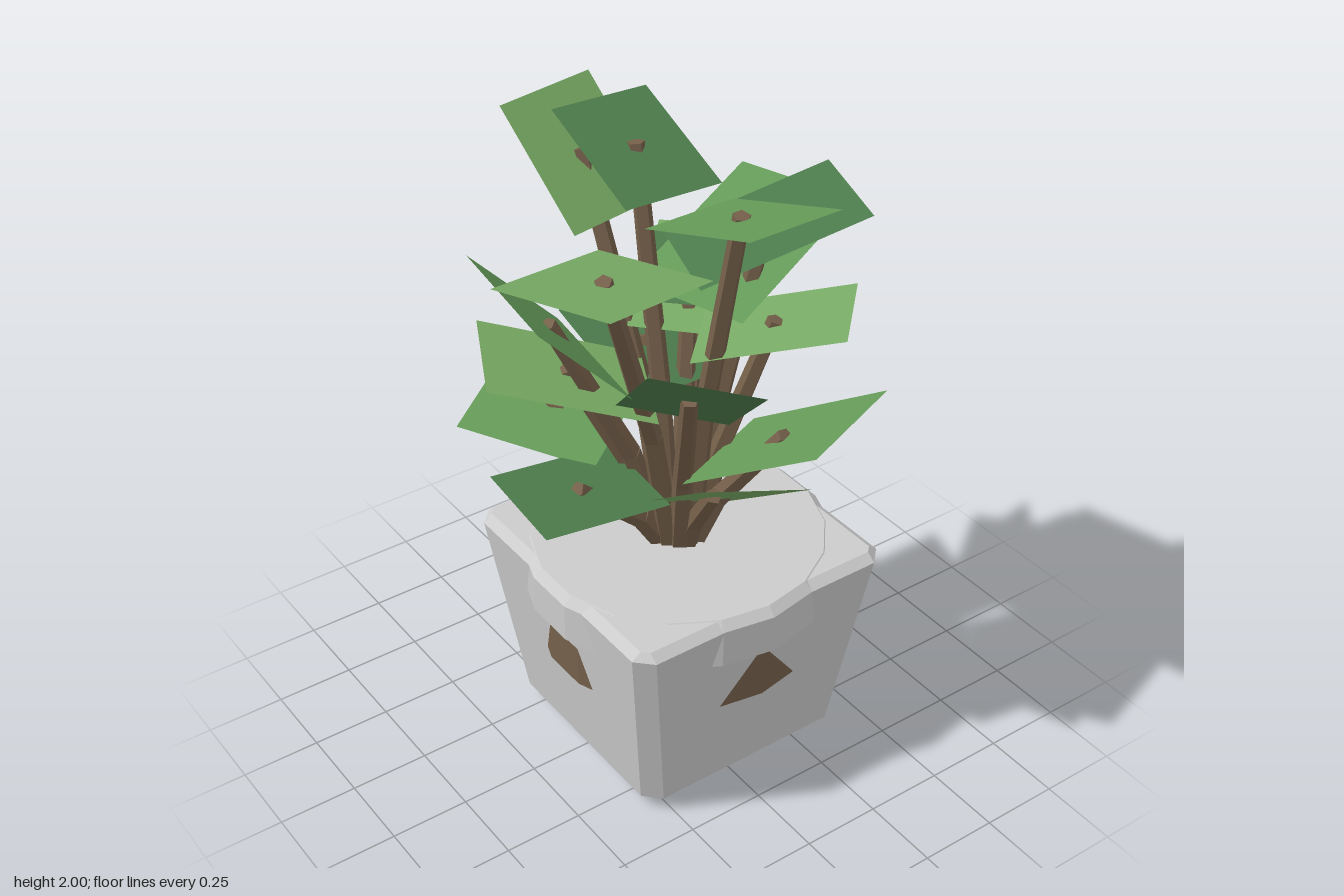
import * as THREE from 'three';

const CX = 0.04, CZ = 0.018; // pot axis
const mat = (color, side = THREE.FrontSide) =>
  new THREE.MeshStandardMaterial({ color, flatShading: true, side });
const grey = mat(0xcccccc), brown = mat(0x75604a);

function add(parent, name, geometry, material) {
  const mesh = new THREE.Mesh(geometry, material);
  mesh.name = name;
  parent.add(mesh);
  return mesh;
}

// Closed solid lofted through square rings with cut corners: [y, halfWidth, cornerCut]
function loftSquare(rings) {
  const pos = [], idx = [], n = 8;
  for (const [y, h, c] of rings) {
    const k = h - c;
    for (const [x, z] of [[k, h], [h, k], [h, -k], [k, -h], [-k, -h], [-h, -k], [-h, k], [-k, h]]) pos.push(x, y, z);
  }
  for (let r = 0; r < rings.length - 1; r++) {
    for (let i = 0; i < n; i++) {
      const a = r * n + i, b = r * n + (i + 1) % n;
      idx.push(a, b, b + n, a, b + n, a + n);
    }
  }
  const top = (rings.length - 1) * n;
  for (let i = 1; i < n - 1; i++) {
    idx.push(0, i + 1, i, top, top + i, top + i + 1);
  }
  const g = new THREE.BufferGeometry();
  g.setAttribute('position', new THREE.Float32BufferAttribute(pos, 3));
  g.setIndex(idx);
  const flat = g.toNonIndexed();
  flat.computeVertexNormals();
  return flat;
}

// Closed faceted disc from [radius, y] points
function disc(points) {
  return new THREE.LatheGeometry(points.map(([r, y]) => new THREE.Vector2(r, y)), 18);
}

// Tapered five-sided rod between two points
function rod(a, b, ra, rb) {
  const d = b.clone().sub(a);
  const g = new THREE.CylinderGeometry(rb, ra, d.length(), 5);
  g.applyQuaternion(new THREE.Quaternion().setFromUnitVectors(new THREE.Vector3(0, 1, 0), d.clone().normalize()));
  const m = a.clone().add(b).multiplyScalar(0.5);
  return g.translate(m.x, m.y, m.z);
}

// Leaves by colour: x, y, z, heading, pitch, roll (degrees), length, width
const LEAVES = [
  [0x78aa64, [
    [-0.335, 1.79, 0.20, -69, 13, 3, 0.49, 0.37],
    [-0.025, 1.85, -0.37, 189.5, 45, 0, 0.42, 0.34],
    [0.24, 1.47, 0.20, 45, 15, 0, 0.45, 0.32],
    [-0.27, 1.34, -0.10, -117, 18, 0, 0.5, 0.38],
    [0.27, 1.42, -0.20, 133, 12, 0, 0.48, 0.34],
    [0, 0.985, 0.24, 1.5, 35, -19.5, 0.49, 0.365],
  ]],
  [0x659a58, [
    [0.045, 1.90, 0.285, 0, 20, 0, 0.49, 0.30],
    [0.32, 1.595, -0.06, 104.5, 19, -3, 0.55, 0.42],
    [-0.17, 1.07, -0.34, 212, 4, -13, 0.45, 0.40],
    [0.165, 1.19, 0.35, 17, 32, 4, 0.53, 0.375],
    [-0.36, 1.55, -0.04, -98, 46, 0, 0.39, 0.48],
  ]],
  [0x4c7a4b, [
    [0.053, 1.91, -0.21, 176, 18, 0, 0.43, 0.31],
    [0.286, 1.725, 0.09, 71.5, 17, 0, 0.52, 0.353],
    [-0.14, 1.41, 0.315, -16.5, 43, -20.5, 0.387, 0.33],
    [0.20, 1.50, -0.15, 135, 6, 0, 0.36, 0.30],
    [-0.32, 1.02, 0.03, -95, 4, 0, 0.40, 0.35],
    [0.10, 1.24, -0.25, 180, 17, 0, 0.42, 0.34],
  ]],
];

export function createModel() {
  const model = new THREE.Group();
  model.name = 'pottedPlant';

  // Pot: tapered box with bevelled edges, a round rim and soil pushing through its walls
  const pot = new THREE.Group();
  pot.name = 'pot';
  pot.position.set(CX, 0, CZ);
  model.add(pot);
  add(pot, 'potBody', loftSquare([[0, 0.31, 0.01], [0.05, 0.365, 0.05], [0.69, 0.45, 0.05], [0.713, 0.42, 0.02]]), grey);
  add(pot, 'rim', disc([[0, 0.545], [0.455, 0.545], [0.478, 0.565], [0.478, 0.69], [0.45, 0.716], [0, 0.716]]), grey);
  add(pot, 'soil', disc([[0, 0.35], [0.415, 0.35], [0.431, 0.362], [0.431, 0.6], [0, 0.6]]), brown);

  // Plant: each leaf is a flat sheet pierced by the tip of a bent stem
  const stems = new THREE.Group(), leaves = new THREE.Group();
  stems.name = 'stems';
  leaves.name = 'leaves';
  model.add(stems, leaves);
  const rad = THREE.MathUtils.degToRad;
  for (const [color, list] of LEAVES) {
    const green = mat(color, THREE.DoubleSide);
    for (const [x, y, z, heading, pitch, roll, length, width] of list) {
      const leaf = add(leaves, 'leaf', new THREE.PlaneGeometry(width, length).rotateX(-Math.PI / 2), green);
      leaf.position.set(x, y, z);
      leaf.rotation.set(-rad(pitch), rad(heading), rad(roll), 'YXZ');

      const tip = new THREE.Vector3(x, y, z);
      const out = new THREE.Vector3(x - CX, 0, z - CZ).normalize();
      const base = new THREE.Vector3(CX, 0.69, CZ).addScaledVector(out, 0.055);
      const knee = base.clone().lerp(tip, 0.3);
      knee.y = base.y + (y - base.y) * 0.42;
      tip.addScaledVector(tip.clone().sub(knee).normalize(), 0.012);
      add(stems, 'lowerStem', rod(base, knee, 0.036, 0.032), brown);
      add(stems, 'upperStem', rod(knee, tip, 0.032, 0.026), brown);
    }
  }
  return model;
}
